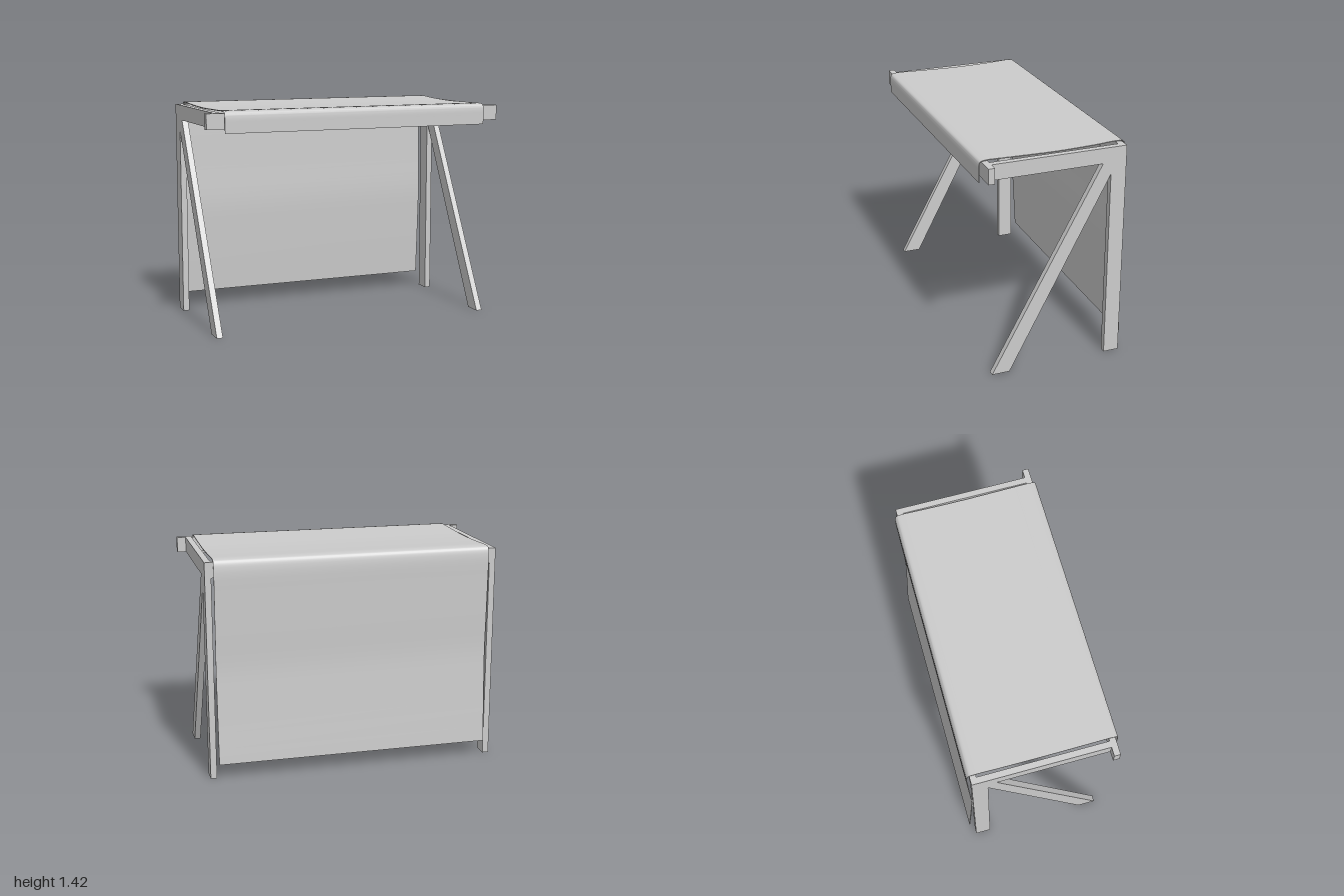
import * as THREE from 'three';
import { toCreasedNormals } from 'three/addons/utils/BufferGeometryUtils.js';

const material = new THREE.MeshStandardMaterial({ color: 0xcccccc });

// Box given by its min/max corners
function bar(name, [x0, x1], [y0, y1], [z0, z1]) {
  const mesh = new THREE.Mesh(new THREE.BoxGeometry(x1 - x0, y1 - y0, z1 - z0), material);
  mesh.position.set((x0 + x1) / 2, (y0 + y1) / 2, (z0 + z1) / 2);
  mesh.name = name;
  return mesh;
}

// Side profile of [z, y] points, extruded along x and centred on x
function extrudeProfile(points, width) {
  const shape = new THREE.Shape(points.map(([z, y]) => new THREE.Vector2(z, y)));
  const geometry = new THREE.ExtrudeGeometry(shape, { depth: width, bevelEnabled: false });
  geometry.translate(0, 0, -width / 2);
  geometry.rotateY(-Math.PI / 2);
  return geometry;
}

// One side: upright leg, slanted leg and top rail
function sideFrame(side) {
  const frame = new THREE.Group();
  frame.name = side > 0 ? 'leftFrame' : 'rightFrame';
  const x = [-0.02, 0.02];
  frame.add(bar('uprightLeg', x, [0, 1.403], [-0.445, -0.345]));
  frame.add(bar('sideRail', x, [1.305, 1.403], [-0.345, 0.42]));
  const slanted = new THREE.Mesh(
    extrudeProfile([[0.42, 0], [-0.343, 1.4], [-0.345, 1.4], [-0.345, 1.23], [0.305, 0]], 0.0398), material);
  slanted.name = 'slantedLeg';
  frame.add(slanted);
  frame.position.x = side * 0.923;
  return frame;
}

// Thin sheet draped over the top and down the back
function drapedSheet() {
  const path = [
    [0.478, 1.28], [0.478, 1.33], [0.477, 1.38], [0.471, 1.403], [0.45, 1.412],
    [0.3, 1.411], [0, 1.405], [-0.25, 1.41], [-0.42, 1.416], [-0.449, 1.407],
    [-0.461, 1.37], [-0.459, 1.2], [-0.452, 0.95], [-0.445, 0.72], [-0.454, 0.5], [-0.476, 0.1],
  ].map(([z, y]) => new THREE.Vector3(z, y, 0));
  const curve = new THREE.CatmullRomCurve3(path);
  const steps = (path.length - 1) * 4;
  const outer = [], inner = [];
  for (let i = 0; i <= steps; i++) {
    const p = curve.getPoint(i / steps), t = curve.getTangent(i / steps);
    const h = 0.0025;
    outer.push([p.x + t.y * h, p.y - t.x * h]);
    inner.unshift([p.x - t.y * h, p.y + t.x * h]);
  }
  const mesh = new THREE.Mesh(toCreasedNormals(extrudeProfile([...outer, ...inner], 1.78), 0.7), material);
  mesh.name = 'drapedSheet';
  return mesh;
}

export function createModel() {
  const model = new THREE.Group();
  model.name = 'desk';
  for (const side of [1, -1]) model.add(sideFrame(side));
  // Cross bars: the front one sticks out past the frames
  model.add(bar('frontBar', [-1, 1], [1.305, 1.403], [0.42, 0.46]));
  model.add(bar('rearBar', [-0.903, 0.903], [1.305, 1.403], [-0.445, -0.405]));
  model.add(drapedSheet());
  return model;
}
